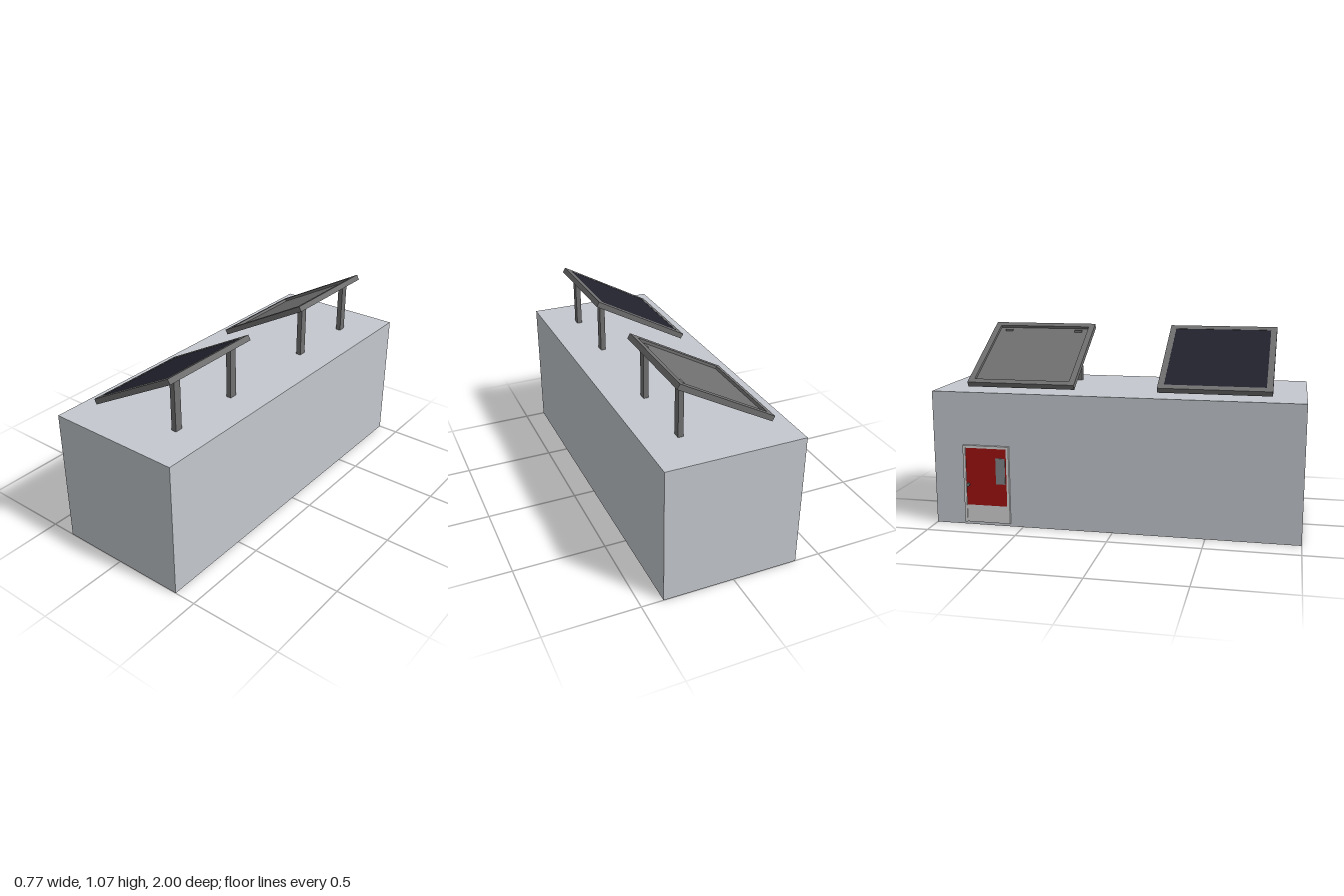
import * as THREE from 'three';

const mat = (name, color) => {
  const m = new THREE.MeshStandardMaterial({ color });
  m.name = name;
  return m;
};

export function createModel() {
  const wall = mat('wallGrey', 0xc4c8ce);
  const metal = mat('metalGrey', 0x707070);
  const cell = mat('solarCell', 0x22222e);
  const trim = mat('doorTrim', 0xd4d4d4);
  const red = mat('doorRed', 0xa01212);
  const glass = mat('windowGrey', 0x84888a);

  const model = new THREE.Group();
  model.name = 'building';

  // Box spanning [x0,x1] x [y0,y1] x [z0,z1]
  const box = (name, m, [x0, x1], [y0, y1], [z0, z1], parent = model) => {
    const mesh = new THREE.Mesh(new THREE.BoxGeometry(x1 - x0, y1 - y0, z1 - z0), m);
    mesh.position.set((x0 + x1) / 2, (y0 + y1) / 2, (z0 + z1) / 2);
    mesh.name = name;
    parent.add(mesh);
    return mesh;
  };
  const rect = (P, w, h) => new P([[-w, -h], [w, -h], [w, h], [-w, h]]
    .map(([x, y]) => new THREE.Vector2(x / 2, y / 2)));

  const top = 0.743;
  box('body', wall, [-0.36, 0.383], [0, top], [-1, 1]);

  // Tilted panels on posts; only the front one carries the dark cell sheet
  const L = 0.586, W = 0.6, T = 0.03, rim = 0.033, floor = 0.015;
  for (const side of [1, -1]) {
    const panel = new THREE.Group();
    panel.name = side > 0 ? 'frontPanel' : 'backPanel';
    panel.position.set(-0.019, 0.914, side * 0.525);
    panel.rotation.z = 0.504;
    model.add(panel);

    // Raised rim around a recessed tray
    const shape = rect(THREE.Shape, L, W);
    shape.holes.push(rect(THREE.Path, L - 2 * rim, W - 2 * rim));
    const g = new THREE.ExtrudeGeometry(shape, { depth: T, bevelEnabled: false });
    g.rotateX(-Math.PI / 2).translate(0, -T / 2, 0);
    const frame = new THREE.Mesh(g, metal);
    frame.name = 'panelRim';
    panel.add(frame);
    const a = L / 2 - rim, b = W / 2 - rim;
    box('panelTray', metal, [-a, a], [-T / 2, -T / 2 + floor], [-b, b], panel);
    if (side > 0) box('solarCells', cell, [-a, a], [T / 2 - 0.006, T / 2 - 0.001], [-b, b], panel);

    for (const z of [0.315, 0.735]) {
      box('post', metal, [0.176, 0.204], [top, 1.032], [side * z - 0.021, side * z + 0.021]);
    }
  }

  // Door on the right wall
  const door = new THREE.Group();
  door.name = 'door';
  model.add(door);
  const z0 = -0.83, z1 = -0.57, y0 = 0.017, y1 = 0.452, t = 0.014;
  const xF = [-0.375, -0.36];
  box('doorJamb', trim, xF, [y0, y1], [z0, z0 + t], door);
  box('doorJamb', trim, xF, [y0, y1], [z1 - t, z1], door);
  box('doorLintel', trim, xF, [y1 - t, y1], [z0 + t, z1 - t], door);
  box('kickPlate', trim, [-0.37, -0.36], [y0, 0.115], [z0 + t, z1 - t], door);
  box('doorLeaf', red, [-0.37, -0.36], [0.115, y1 - t], [z0 + t, z1 - t], door);
  box('doorWindow', glass, [-0.373, -0.37], [0.24, 0.385], [-0.645, -0.592], door);

  // Knob on a short stem
  for (const [name, r, x0, x1] of [['knobStem', 0.005, -0.38, -0.368], ['knob', 0.01, -0.385, -0.376]]) {
    const knob = new THREE.Mesh(new THREE.CylinderGeometry(r, r, x1 - x0, 16), metal);
    knob.rotation.z = Math.PI / 2;
    knob.position.set((x0 + x1) / 2, 0.232, -0.803);
    knob.name = name;
    door.add(knob);
  }
  return model;
}
